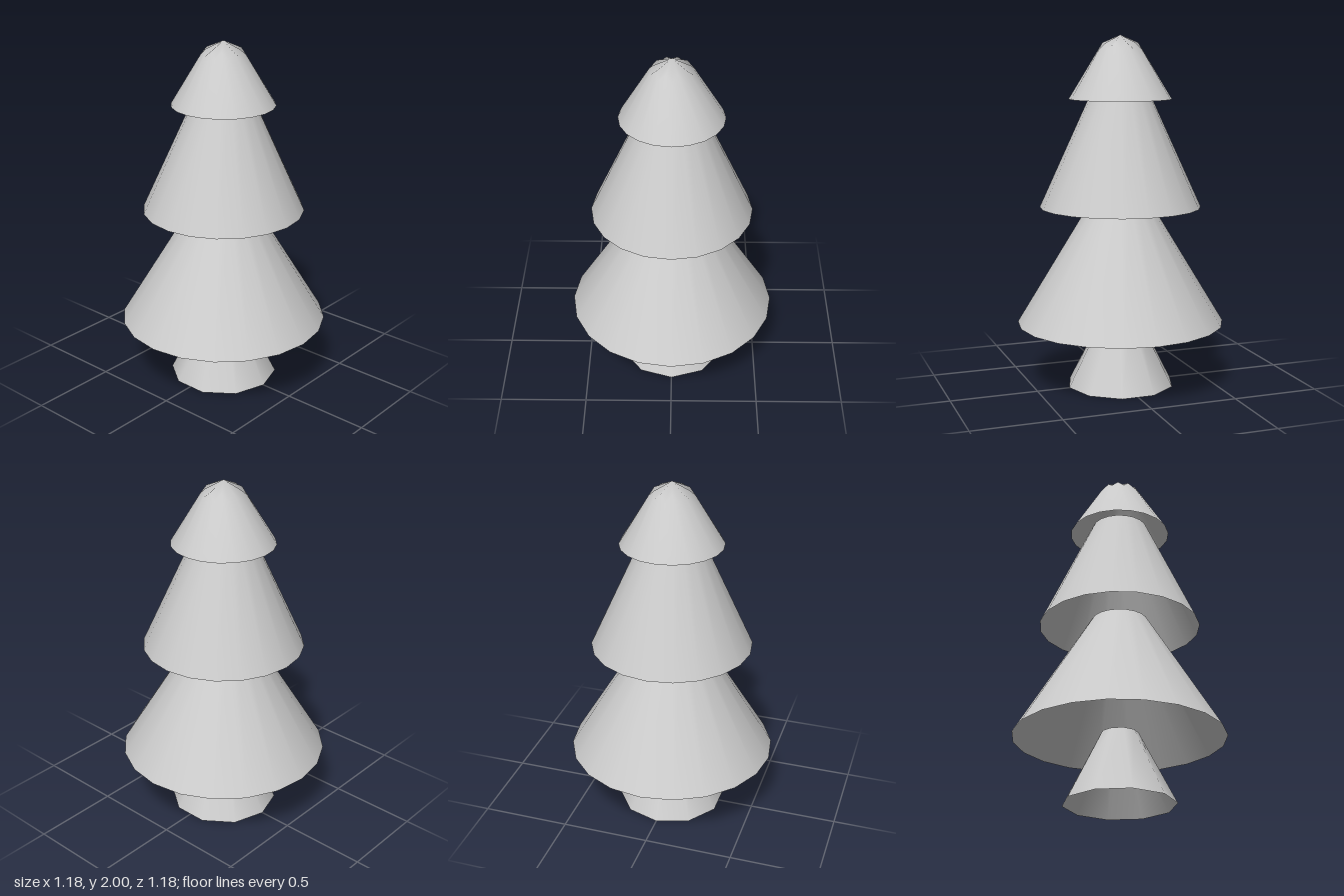
import * as THREE from 'three';
import { mergeVertices } from 'three/addons/utils/BufferGeometryUtils.js';

const material = new THREE.MeshStandardMaterial({ color: 0xcccccc, side: THREE.DoubleSide });

// Open hollow cone frustum standing between two heights
function frustum(name, rBottom, yBottom, rTop, yTop, sides) {
  const geometry = new THREE.CylinderGeometry(rTop, rBottom, yTop - yBottom, sides, 1, true);
  geometry.rotateY(Math.PI / 2); // puts a corner on the x axis
  geometry.translate(0, (yTop + yBottom) / 2, 0);
  const mesh = new THREE.Mesh(geometry, material);
  mesh.name = name;
  return mesh;
}

// Top tier: a cone whose shoulder corners alternate low and high below the peak
function crown() {
  const sides = 20;
  const profile = [[0.29, 1.645], [0.125, 1.92], [0, 2]].map(([r, y]) => new THREE.Vector2(r, y));
  let geometry = new THREE.LatheGeometry(profile, sides);
  const p = geometry.attributes.position;
  for (let i = 0; i <= sides; i += 2) {
    const a = (i / sides) * Math.PI * 2;
    p.setXYZ(i * profile.length + 1, 0.1 * Math.sin(a), 1.957, 0.1 * Math.cos(a));
  }
  // Weld the seam and peak so the shading stays smooth
  geometry.deleteAttribute('uv');
  geometry.deleteAttribute('normal');
  geometry = mergeVertices(geometry, 1e-4);
  geometry.computeVertexNormals();
  const mesh = new THREE.Mesh(geometry, material);
  mesh.name = 'topTier';
  return mesh;
}

export function createModel() {
  const tree = new THREE.Group();
  tree.name = 'tree';
  tree.add(
    frustum('trunk', 0.31, 0, 0.105, 0.4, 10),
    frustum('lowerTier', 0.59, 0.37, 0.16, 1.08, 20),
    frustum('middleTier', 0.457, 1.037, 0.16, 1.69, 20),
    crown()
  );
  return tree;
}
